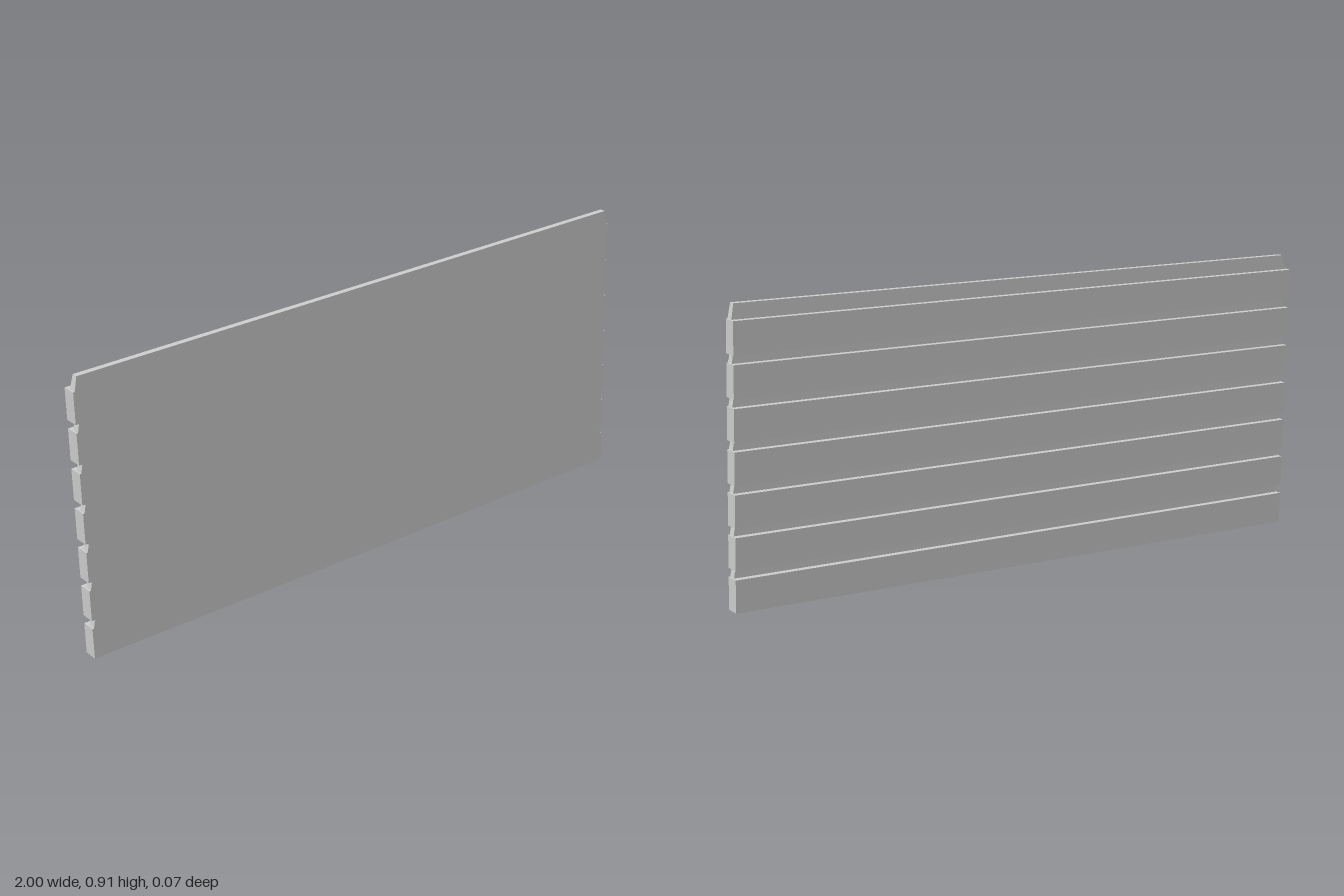
import * as THREE from 'three';

const material = new THREE.MeshStandardMaterial({ color: 0xcccccc, flatShading: true });
const PITCH = 0.1245, SLAT = 0.098, DEPTH = 0.045, COUNT = 7;
const TONGUE = 0.045, BASE = 0.009, MID = 0.4525;

// Tongue standing on y = 0 with a flush front; its ends and back taper upwards
function tongueGeometry(height) {
  const geometry = new THREE.BoxGeometry(2, height, 1);
  geometry.translate(0, height / 2, 0);
  const p = geometry.attributes.position;
  for (let i = 0; i < p.count; i++) {
    const t = p.getY(i) / TONGUE;
    p.setX(i, Math.sign(p.getX(i)) * (0.993 - 0.009 * t));
    p.setZ(i, p.getZ(i) > 0 ? DEPTH / 2 : DEPTH / 2 - 0.025 + 0.006 * t);
  }
  geometry.computeVertexNormals();
  return geometry;
}

export function createModel() {
  const model = new THREE.Group();
  model.name = 'slattedPanel';

  for (let i = 0; i < COUNT; i++) {
    const y = BASE + i * PITCH - MID;

    // Thick board
    const slat = new THREE.Mesh(new THREE.BoxGeometry(1.996, SLAT, DEPTH), material);
    slat.name = 'slat';
    slat.position.y = y + SLAT / 2;
    model.add(slat);

    // Thin tongue: bridges to the next board, full height on the top one
    const height = i === COUNT - 1 ? TONGUE : PITCH - SLAT;
    const tongue = new THREE.Mesh(tongueGeometry(height), material);
    tongue.name = i === COUNT - 1 ? 'topTongue' : 'tongue';
    tongue.position.y = y + SLAT;
    model.add(tongue);
  }

  // The panel leans back slightly and is skewed a little
  model.rotation.set(-0.021, -0.004, 0.0085);
  model.position.set(0, MID, 0.0015);
  const root = new THREE.Group();
  root.name = 'panel';
  root.add(model);
  return root;
}
